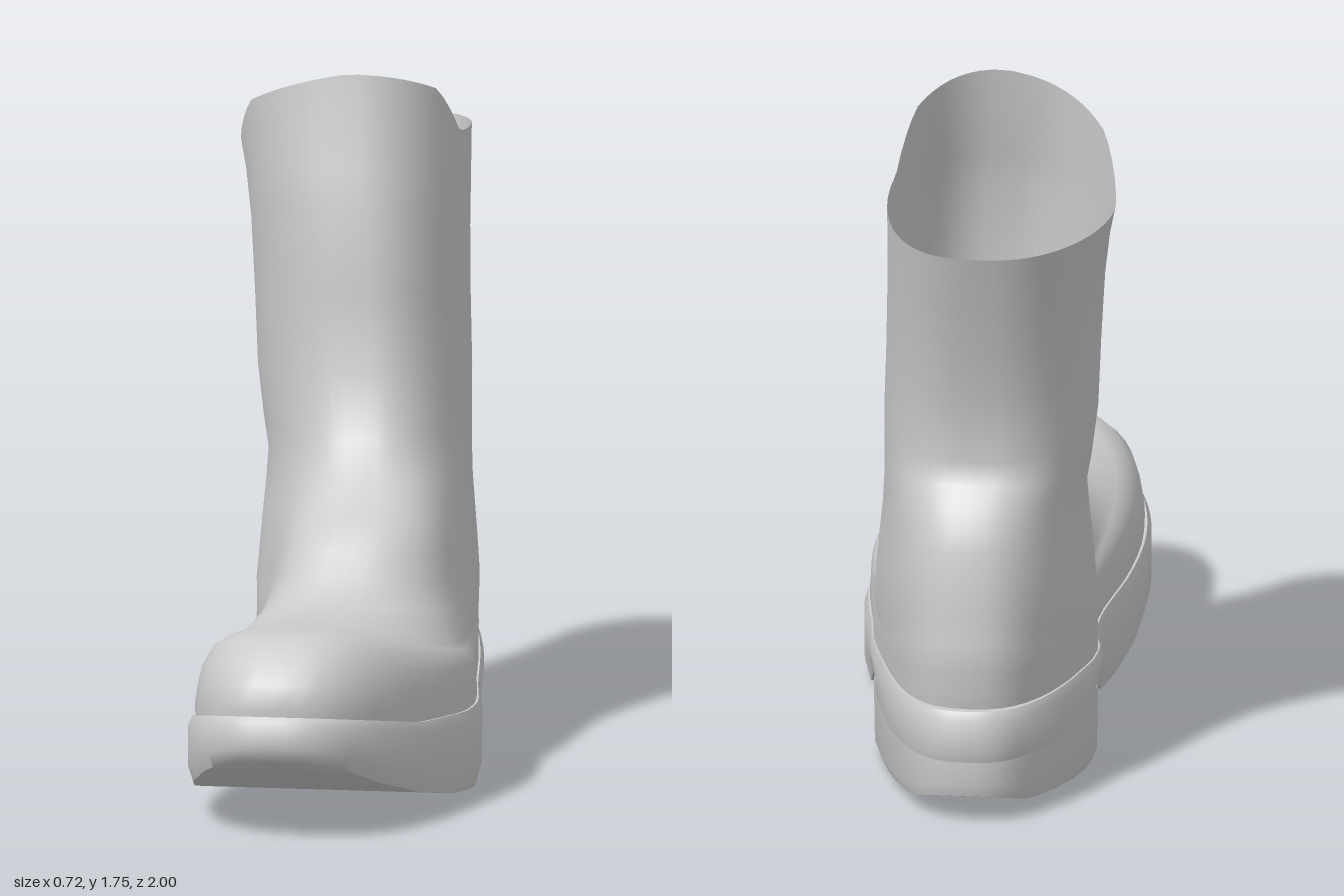
import * as THREE from 'three';
import { toCreasedNormals } from 'three/addons/utils/BufferGeometryUtils.js';

const { lerp } = THREE.MathUtils;

// Piecewise-linear lookup through [z, y] knots in rising z.
function lookup(knots, z) {
  for (let i = 1; i < knots.length; i++) {
    const [z0, y0] = knots[i - 1], [z1, y1] = knots[i];
    if (z <= z1) return lerp(y0, y1, Math.max(0, (z - z0) / (z1 - z0)));
  }
  return knots[knots.length - 1][1];
}

// Skins closed rings of points, stacked from bottom to top.
function loft(rings) {
  const n = rings[0].length, index = [];
  for (let r = 0; r < rings.length - 1; r++) {
    for (let j = 0; j < n; j++) {
      const a = r * n + j, b = r * n + (j + 1) % n;
      index.push(a, b, b + n, a, b + n, a + n);
    }
  }
  const geo = new THREE.BufferGeometry();
  geo.setAttribute('position', new THREE.Float32BufferAttribute(rings.flat(2), 3));
  geo.setIndex(index);
  geo.computeVertexNormals();
  return geo;
}

// Foot plan: curved centre line, narrow waist and blunt rounded ends.
const bump = (z, centre, width) => Math.exp(-(((z - centre) / width) ** 2));
const planCentre = (z) => lerp(-0.04, -0.05, (z + 1) / 2) + 0.08 * bump(z, 0.12, 0.45);
const waist = (z) => 0.035 * bump(z, -0.05, 0.25);
const blunt = (a) => Math.sign(Math.sin(a)) * Math.abs(Math.sin(a)) ** 0.76;

// Point of the sole outline; sx and sz pull it inwards, tuck narrows the arch.
function outline(a, sx, sz, height, tuck) {
  const z = Math.cos(a) * sz;
  const half = (lerp(0.295, 0.372, (z + 1) / 2) - waist(z)) * sx * (1 - tuck * bump(z, -0.25, 0.2));
  return [planCentre(z) + half * blunt(a), height(z), z];
}

// Solid slab following the outline from angle a0 round the back and home.
function slab(layers, a0, count) {
  return loft(layers.map(([sx, sz, height, tuck = 0]) => Array.from({ length: count }, (_, j) =>
    outline(a0 + (j / (a0 ? count - 1 : count)) * (2 * Math.PI - 2 * a0), sx, sz, height, tuck))));
}

const welt = (z) => lookup([[-1, 0.30], [-0.6, 0.29], [-0.4, 0.27], [-0.2, 0.235], [0, 0.215],
  [0.3, 0.225], [0.6, 0.25], [0.9, 0.31], [1, 0.33]], z);
const tread = (z) => lookup([[-1, 0.15], [-0.4, 0.13], [-0.2, 0.095], [0.05, 0.042], [0.075, 0.01],
  [0.2, 0.01], [0.4, 0.03], [0.6, 0.07], [0.8, 0.13], [1, 0.22]], z);
const heelBase = (z) => lookup([[-1, 0.08], [-0.9, 0.045], [-0.6, 0.012], [-0.45, 0]], z);

// Rim of the shaft: tall front tongue, low back.
const rim = (z) => lookup([[-1, 1.51], [-0.5, 1.555], [-0.36, 1.69], [-0.21, 1.75]], z);

// Upper rings: front z, y, back z, y, half width front, back, side sag
const upperRings = [
  [0.95, 0.27, -0.95, 0.25, 0.355, 0.28, 0.09],
  [0.97, 0.34, -0.965, 0.31, 0.355, 0.285, 0.08],
  [0.95, 0.40, -0.97, 0.35, 0.35, 0.285, 0.09],
  [0.91, 0.455, -0.975, 0.39, 0.345, 0.285, 0.11],
  [0.83, 0.50, -0.98, 0.44, 0.335, 0.285, 0.14],
  [0.73, 0.508, -0.975, 0.48, 0.325, 0.28, 0.16],
  [0.57, 0.49, -0.97, 0.53, 0.325, 0.275, 0.16],
  [0.38, 0.50, -0.965, 0.60, 0.32, 0.27, 0.13],
  [0.29, 0.55, -0.955, 0.66, 0.305, 0.265, 0.10],
  [0.25, 0.61, -0.945, 0.71, 0.295, 0.26, 0.08],
  [0.16, 0.68, -0.93, 0.76, 0.28, 0.255, 0.06],
  [0.03, 0.75, -0.90, 0.81, 0.265, 0.255, 0.03],
  [-0.04, 0.84, -0.865, 0.86, 0.265, 0.265, 0.02],
  [-0.105, 1.0, -0.83, 0.91, 0.27, 0.275, 0],
  [-0.12, 1.2, -0.86, 1.08, 0.27, 0.275, 0],
  [-0.135, 1.42, -0.90, 1.22, 0.275, 0.275, 0],
  [-0.17, 1.51, -0.945, 1.36, 0.285, 0.275, 0],
];
const rimRing = [-0.21, 1.75, -1.0, 1.51, 0.30, 0.27, 0];

function upperGeometry(count = 64) {
  return loft([...upperRings, rimRing].map((ring, k) => {
    const [zf, yf, zb, yb, hf, hb, sag] = ring;
    const lean = -0.07 * Math.max(0, (k - 11) / 6); // shaft leans outwards towards the rim
    return Array.from({ length: count }, (_, j) => {
      const a = (j / count) * 2 * Math.PI, t = (1 + Math.cos(a)) / 2;
      const z = lerp(zb, zf, t);
      const x = planCentre(z) + lean * lerp(0.35, 1, t) + (lerp(hb, hf, t) - waist(z)) * blunt(a);
      const y = ring === rimRing ? rim(z) + 0.2 * t * Math.min(0, x + 0.05)
        : lerp(yb, yf, t) - sag * Math.sin(a) ** 2;
      return [x, y, z];
    });
  }));
}

export function createModel() {
  const group = new THREE.Group();
  const material = new THREE.MeshStandardMaterial({ color: 0xcccccc, side: THREE.DoubleSide });
  const add = (name, geometry) => {
    const mesh = new THREE.Mesh(geometry, material);
    mesh.name = name;
    group.add(mesh);
  };

  // Leather upper with open shaft
  add('upper', upperGeometry());

  // Outsole with bevelled edges and tucked arch; its top is the insole
  add('sole', toCreasedNormals(slab([
    [0, 0.97, tread],
    [0.96, 0.985, tread, 0.2],
    [1, 1, (z) => lerp(tread(z), welt(z), 0.25), 0.08],
    [1, 1, (z) => lerp(tread(z), welt(z), 0.85)],
    [0.97, 0.985, welt],
    [0, 0.97, welt],
  ], 0, 160), 0.9));

  // Heel block with a flat front face
  const front = Math.acos(-0.45);
  add('heel', toCreasedNormals(slab([
    [0, 0.985, heelBase],
    [0.94, 0.985, heelBase],
    [0.98, 0.995, (z) => heelBase(z) + 0.03],
    [0.99, 0.99, () => 0.2],
    [0, 0.97, () => 0.2],
  ], front, 40), 0.7));

  return group;
}
